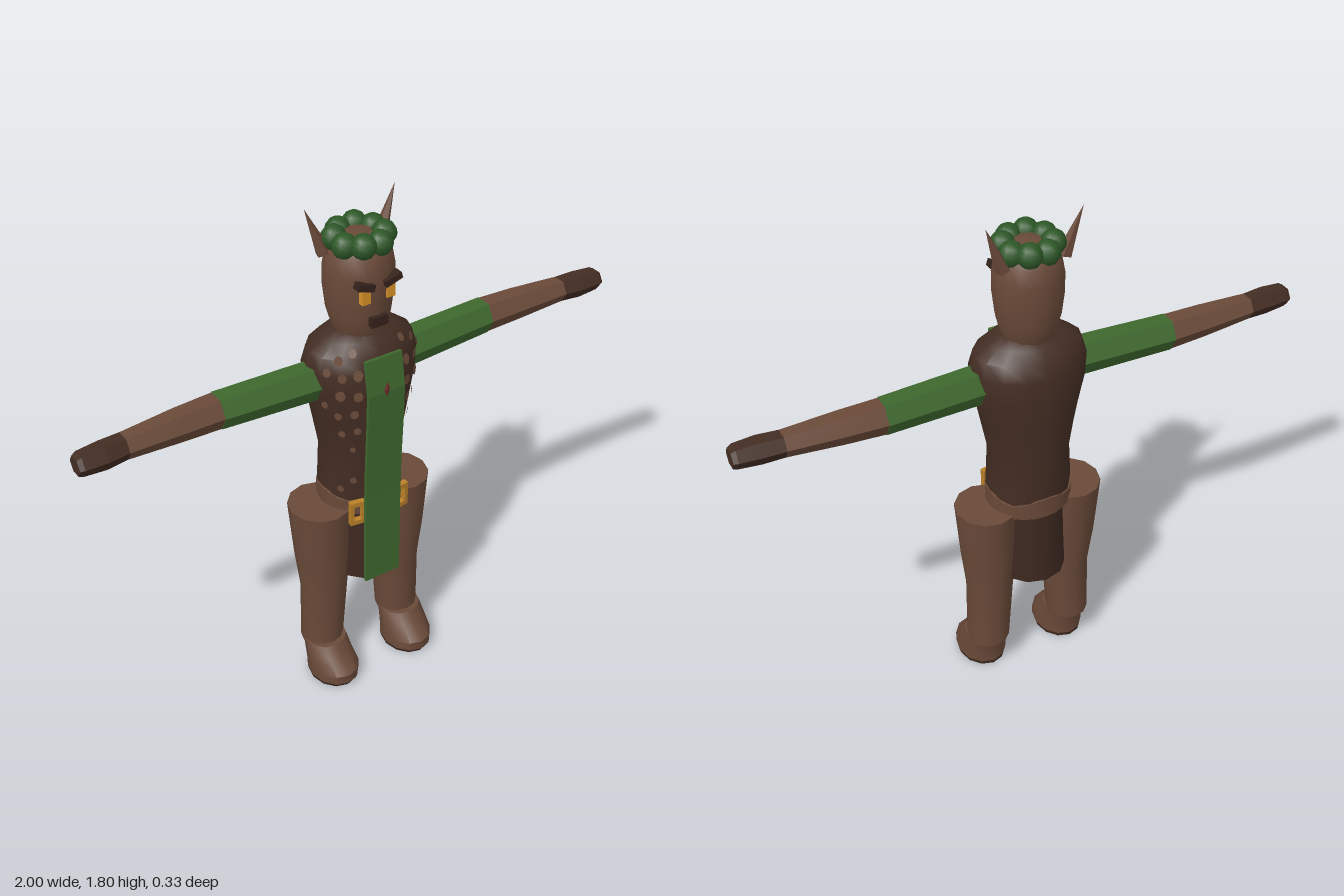
import * as THREE from 'three';
import { toCreasedNormals } from 'three/addons/utils/BufferGeometryUtils.js';

const mat = (name, color, extra = {}) => new THREE.MeshStandardMaterial({ name, color, ...extra });

// Closed loft through elliptical rings [t, cu, cv, ru, rv, wave] along y (u=z, v=x) or along x (u=y, v=z)
function loft(rings, { n = 16, axis = 'y', crease = 0.7, phase = 0 } = {}) {
  const pos = [], idx = [];
  const put = (t, u, v) => (axis === 'y' ? pos.push(v, t, u) : pos.push(t, u, v));
  for (const [t, cu, cv, ru, rv, wave = 0] of rings) {
    for (let j = 0; j < n; j++) {
      const a = phase + (j / n) * Math.PI * 2;
      put(t + wave * Math.cos(a * 4), cu + ru * Math.cos(a), cv + rv * Math.sin(a));
    }
  }
  const last = rings.length - 1, c0 = rings.length * n;
  put(...rings[0].slice(0, 3));
  put(...rings[last].slice(0, 3));
  for (let j = 0; j < n; j++) {
    const k = (j + 1) % n;
    for (let i = 0; i < last; i++) {
      const a = i * n + j, b = i * n + k;
      idx.push(a, b, a + n, b, b + n, a + n);
    }
    idx.push(c0, k, j, c0 + 1, last * n + j, last * n + k);
  }
  const g = new THREE.BufferGeometry();
  g.setAttribute('position', new THREE.Float32BufferAttribute(pos, 3));
  g.setIndex(idx);
  return toCreasedNormals(g, crease);
}

// Torso rings: y, z centre, x centre, z radius, x radius
const TORSO = [
  [0.72, -0.012, 0, 0.128, 0.145], [0.8, -0.012, 0, 0.132, 0.146], [0.93, -0.012, 0, 0.14, 0.137],
  [1.08, -0.01, 0, 0.148, 0.168], [1.19, -0.01, 0, 0.154, 0.194], [1.27, -0.01, 0, 0.148, 0.2],
  [1.325, -0.01, 0, 0.13, 0.185], [1.36, -0.008, 0, 0.1, 0.135], [1.382, -0.006, 0, 0.075, 0.085],
];

// Point and normal on the front of the torso
function onTorso(x, y) {
  let i = 0;
  while (i < TORSO.length - 2 && TORSO[i + 1][0] < y) i++;
  const a = TORSO[i], b = TORSO[i + 1], f = (y - a[0]) / (b[0] - a[0]);
  const [, cz, , rz, rx] = a.map((v, k) => v + (b[k] - v) * f);
  const c = Math.sqrt(Math.max(0.05, 1 - (x / rx) ** 2));
  const slope = -(b[3] - a[3]) / (b[0] - a[0]);
  return {
    p: new THREE.Vector3(x, y, cz + rz * c),
    n: new THREE.Vector3(x / rx / rx, slope * c / rz, c / rz).normalize(),
  };
}

export function createModel() {
  const model = new THREE.Group();
  model.name = 'forestFigure';
  const bark = mat('barkBrown', 0x6a4a39);
  const dark = mat('darkBark', 0x432d23);
  const cloth = mat('greenCloth', 0x3f682e, { side: THREE.DoubleSide });
  const leaf = mat('leafGreen', 0x2d5727);
  const gold = mat('gold', 0xb98028);
  const amber = mat('amber', 0xd8942a);
  const brow = mat('browBrown', 0x35221b);
  const gem = mat('gemRed', 0x6e2a26);
  const skirtMat = mat('skirtBrown', 0x3d2820, { side: THREE.DoubleSide });

  const add = (name, geo, m, parent = model) => {
    const mesh = new THREE.Mesh(geo, m);
    mesh.name = name;
    parent.add(mesh);
    return mesh;
  };
  const box = (name, m, w, h, d, x, y, z, rz = 0) => {
    const b = add(name, new THREE.BoxGeometry(w, h, d), m);
    b.position.set(x, y, z);
    b.rotation.z = rz;
    return b;
  };

  // Body, ragged hip band and open skirt
  add('torso', loft(TORSO), dark);
  add('hipBand', loft([
    [0.705, -0.012, 0, 0.132, 0.148], [0.772, -0.012, 0, 0.135, 0.15, 0.012], [0.774, -0.012, 0, 0.12, 0.13, 0.012],
  ], { n: 24 }), bark);
  const skirt = new THREE.CylinderGeometry(1, 1.07, 0.3, 12, 1, true);
  skirt.scale(0.12, 1, 0.132);
  add('skirt', skirt, skirtMat).position.set(0, 0.575, -0.01);

  // Head and face
  add('head', loft([
    [1.35, -0.01, 0, 0.075, 0.075], [1.385, -0.01, 0, 0.094, 0.09], [1.44, -0.012, 0, 0.107, 0.105],
    [1.52, -0.012, 0, 0.113, 0.115], [1.59, -0.012, 0, 0.113, 0.115], [1.645, -0.012, 0, 0.104, 0.105],
    [1.685, -0.012, 0, 0.078, 0.08], [1.7, -0.012, 0, 0.04, 0.04],
  ], { n: 18, crease: 1 }), bark);
  box('mouth', brow, 0.06, 0.034, 0.02, 0, 1.438, 0.1);

  // Leaf crown
  const crown = new THREE.Group();
  crown.name = 'leafCrown';
  model.add(crown);
  for (let i = 0; i < 8; i++) {
    const a = ((i + 0.5) / 8) * Math.PI * 2;
    const s = add('leafClump', new THREE.SphereGeometry(0.042, 10, 8), leaf, crown);
    s.position.set(Math.sin(a) * 0.078, 1.685 + (i % 2 ? 0.002 : -0.002), -0.01 + Math.cos(a) * 0.078);
  }

  // Sash down the front, following the chest
  const path = [[1.32, 0.132], [1.2, 0.152], [1.08, 0.149], [0.93, 0.141], [0.78, 0.137], [0.43, 0.137]];
  const sashShape = new THREE.Shape([
    ...path.map(([y, z]) => new THREE.Vector2(z, y)),
    ...path.slice().reverse().map(([y, z]) => new THREE.Vector2(z - 0.012, y)),
  ]);
  const sash = new THREE.ExtrudeGeometry(sashShape, { depth: 0.138, bevelEnabled: false });
  sash.rotateY(-Math.PI / 2).translate(0.069, 0, 0);
  add('sash', sash, cloth);
  const jewel = add('sashGem', new THREE.OctahedronGeometry(1), gem);
  jewel.scale.set(0.011, 0.028, 0.006);
  jewel.position.set(0, 1.21, 0.152);

  // Square buckle frame
  const frame = new THREE.Shape([[-0.028, -0.045], [0.028, -0.045], [0.028, 0.045], [-0.028, 0.045]].map(p => new THREE.Vector2(...p)));
  frame.holes.push(new THREE.Path([[-0.014, -0.028], [-0.014, 0.028], [0.014, 0.028], [0.014, -0.028]].map(p => new THREE.Vector2(...p))));
  const buckleGeo = new THREE.ExtrudeGeometry(frame, { depth: 0.02, bevelEnabled: false });

  // Chest spots: x, y, radius
  const spots = [
    [0.09, 1.34, 0.014], [0.135, 1.325, 0.015], [0.09, 1.275, 0.017], [0.135, 1.27, 0.015], [0.168, 1.285, 0.014],
    [0.092, 1.2, 0.016], [0.14, 1.205, 0.017], [0.17, 1.16, 0.012], [0.1, 1.13, 0.015], [0.14, 1.12, 0.013],
    [0.088, 1.06, 0.013], [0.125, 1.045, 0.012], [0.095, 0.98, 0.01], [0.09, 0.85, 0.012], [0.12, 0.81, 0.012],
  ];

  for (const s of [1, -1]) {
    const side = s > 0 ? 'left' : 'right';

    box(side + 'Eye', amber, 0.03, 0.046, 0.02, s * 0.046, 1.532, 0.093);
    box(side + 'Brow', brow, 0.062, 0.022, 0.03, s * 0.05, 1.571, 0.097, s * 0.3);

    // Pointed ear
    const ear = add(side + 'Ear', new THREE.ConeGeometry(0.026, 0.17, 5), bark);
    ear.position.set(s * 0.135, 1.72, -0.053);
    ear.rotation.set(-0.06, 0, -s * 0.36);
    ear.geometry = toCreasedNormals(ear.geometry, 0.3);

    const buckle = add(side + 'Buckle', buckleGeo, gold);
    buckle.position.set(s * 0.085, 0.725, 0.1);
    buckle.rotation.y = s * 0.15;

    for (const [x, y, r] of spots) {
      const { p, n } = onTorso(s * x, y);
      const spot = add(side + 'Spot', new THREE.CircleGeometry(r, 7), bark);
      spot.scale.y = 1.15;
      spot.position.copy(p).addScaledVector(n, 0.004);
      spot.lookAt(p.clone().add(n));
    }

    // Hexagonal arm: x, y centre, z centre, y radius, z radius
    const arm = (name, rings, m) => {
      const r = rings.map(([x, ...rest]) => [s * x, ...rest]);
      add(side + name, loft(s > 0 ? r : r.reverse(), { n: 6, axis: 'x', crease: 0.1, phase: Math.PI / 6 }), m);
    };
    arm('Sleeve', [[0.15, 1.22, -0.008, 0.068, 0.062], [0.515, 1.222, -0.027, 0.062, 0.059]], cloth);
    arm('Forearm', [[0.515, 1.222, -0.027, 0.06, 0.057], [0.65, 1.223, -0.024, 0.055, 0.054], [0.837, 1.223, -0.018, 0.043, 0.045]], bark);
    arm('Hand', [[0.837, 1.223, -0.018, 0.043, 0.045], [0.91, 1.222, -0.012, 0.046, 0.047], [0.985, 1.222, -0.01, 0.04, 0.042], [1, 1.22, -0.01, 0.033, 0.036]], dark);

    // Leg, foot and sole: y, z centre, x centre, z radius, x radius
    const leg = (name, rings, m) =>
      add(side + name, loft(rings.map(([y, z, x, rz, rx]) => [y, z, s * x, rz, rx]), { n: 12 }), m);
    leg('Leg', [
      [0.125, -0.01, 0.16, 0.075, 0.075], [0.36, -0.008, 0.15, 0.083, 0.082],
      [0.5, -0.01, 0.153, 0.1, 0.095], [0.72, -0.012, 0.16, 0.113, 0.107],
    ], bark);
    leg('Foot', [
      [0.015, 0.058, 0.158, 0.106, 0.086], [0.05, 0.058, 0.158, 0.107, 0.086],
      [0.1, 0.03, 0.16, 0.088, 0.08], [0.138, 0.01, 0.16, 0.076, 0.076],
    ], bark);
    leg('Sole', [[0, 0.055, 0.158, 0.1, 0.082], [0.016, 0.058, 0.158, 0.106, 0.086]], dark);
  }
  return model;
}
